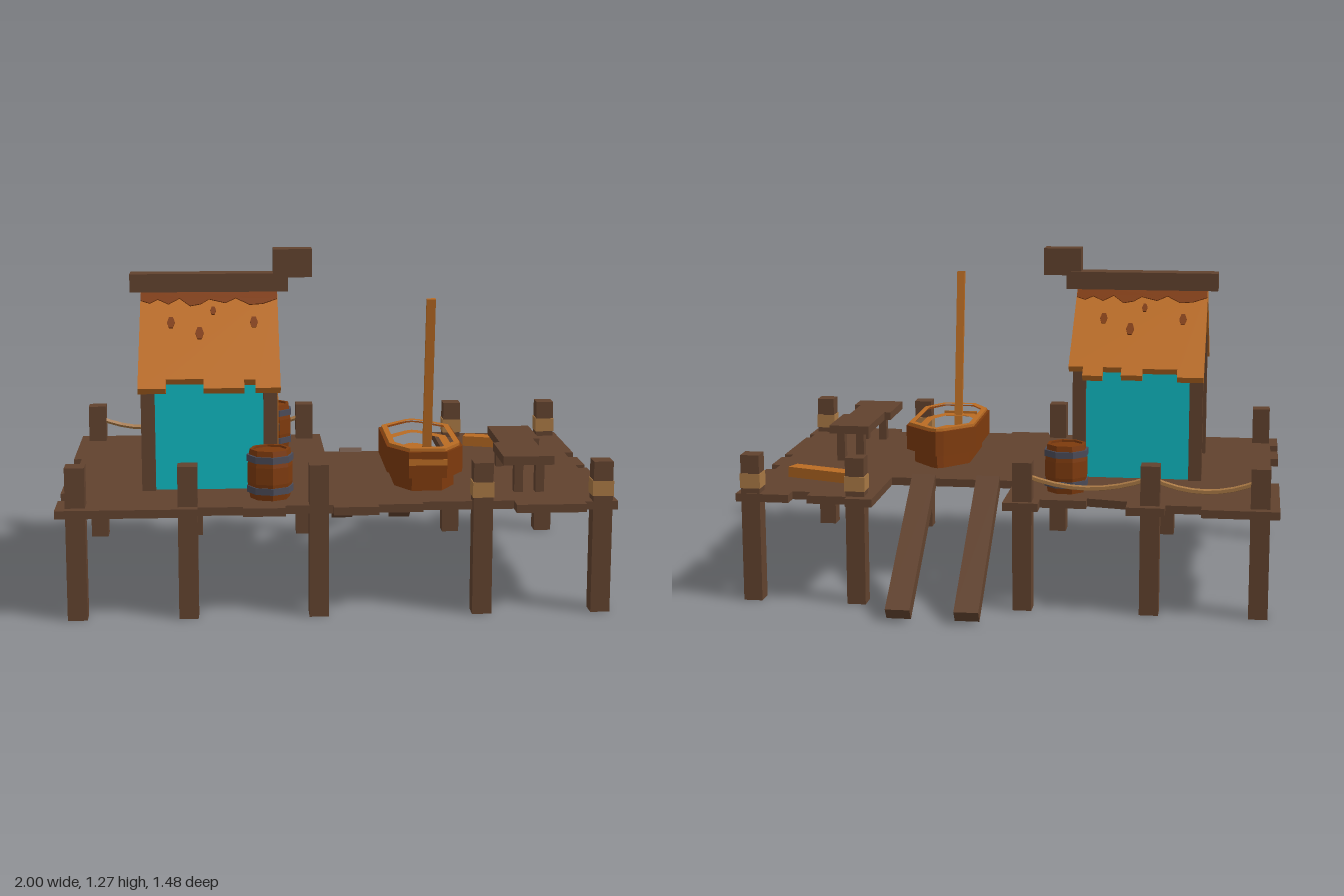
import * as THREE from 'three';

const mat = (name, color) => {
  const m = new THREE.MeshStandardMaterial({ color });
  m.name = name;
  return m;
};

export function createModel() {
  const wood = mat('dark wood', 0x61422e);
  const teal = mat('teal paint', 0x0fb8c0);
  const orange = mat('orange wood', 0xb96b23);
  const rust = mat('rust wood', 0x7d3a0d);
  const band = mat('post wrap', 0xa87844);
  const iron = mat('iron', 0x4b4b58);

  const root = new THREE.Group();
  root.name = 'dockHouse';

  const add = (name, geo, m, parent = root) => {
    const mesh = new THREE.Mesh(geo, m);
    mesh.name = name;
    parent.add(mesh);
    return mesh;
  };
  // Box given by its ranges
  const box = (name, m, [x0, x1], [y0, y1], [z0, z1], parent) => {
    const b = add(name, new THREE.BoxGeometry(x1 - x0, y1 - y0, z1 - z0), m, parent);
    b.position.set((x0 + x1) / 2, (y0 + y1) / 2, (z0 + z1) / 2);
    return b;
  };
  const outline = (pts) => new THREE.Shape(pts.map(([a, b]) => new THREE.Vector2(a, b)));
  const extrude = (pts, depth, hole) => {
    const s = outline(pts);
    if (hole) s.holes.push(outline(hole));
    return new THREE.ExtrudeGeometry(s, { depth, bevelEnabled: false });
  };
  // Horizontal slab from [x, z] points
  const slab = (name, m, pts, y0, y1, hole, parent) => {
    const flip = (p) => p && p.map(([x, z]) => [x, -z]);
    const g = extrude(flip(pts), y1 - y0, flip(hole)).rotateX(-Math.PI / 2).translate(0, y0, 0);
    return add(name, g, m, parent);
  };
  // Upright slab from [z, y] points, thick along x
  const upright = (name, m, pts, x0, x1, parent) => {
    const g = extrude(pts.map(([z, y]) => [-z, y]), x1 - x0).rotateY(Math.PI / 2).translate(x0, 0, 0);
    return add(name, g, m, parent);
  };
  const faceted = (geo) => {
    const g = geo.toNonIndexed();
    g.computeVertexNormals();
    return g;
  };

  // Deck with ragged plank ends
  slab('deck', wood, [
    [-1, -0.58], [-0.72, -0.58], [-0.72, -0.53], [-0.59, -0.53], [-0.59, -0.58], [-0.45, -0.58],
    [-0.45, -0.49], [-0.3, -0.46], [-0.3, -0.5], [-0.13, -0.5], [-0.13, -0.565], [0, -0.565],
    [0, -0.21], [0.48, -0.21], [0.48, -0.58], [0.58, -0.58], [0.58, -0.55], [0.73, -0.55],
    [0.73, -0.49], [0.8, -0.49], [0.8, -0.55], [1, -0.55], [1, -0.13], [0.965, -0.13],
    [0.965, -0.05], [1, -0.05], [1, 0.1], [0.965, 0.1], [0.965, 0.15], [1, 0.15],
    [1, 0.5], [0.98, 0.5], [0.98, 0.56], [1, 0.56], [1, 0.7], [0.88, 0.7],
    [0.88, 0.735], [0.63, 0.735], [0.63, 0.67], [0.3, 0.67], [0.3, 0.7], [0.14, 0.7],
    [0.14, 0.735], [-0.02, 0.735], [-0.02, 0.7], [-0.19, 0.7], [-0.19, 0.735], [-0.34, 0.735],
    [-0.34, 0.71], [-0.5, 0.71], [-0.5, 0.735], [-1, 0.735], [-1, 0.58], [-0.97, 0.58],
    [-0.97, 0.47], [-1, 0.47], [-1, 0.32], [-0.97, 0.32], [-0.97, -0.12], [-1, -0.12],
  ], 0.38, 0.41);

  // Posts, wrapped on the right half
  for (const [z, fourth] of [[0.665, 0.515], [-0.51, 0.55]]) {
    for (const x of [-0.93, -0.535, -0.07, fourth, 0.945]) {
      box('post', wood, [x - 0.035, x + 0.035], [0, 0.555], [z - 0.035, z + 0.035]);
      if (x > 0.2) box('postWrap', band, [x - 0.038, x + 0.038], [0.43, 0.485], [z - 0.038, z + 0.038]);
    }
  }

  // Sagging ropes between the back posts
  for (const [a, b] of [[-0.93, -0.535], [-0.535, -0.07]]) {
    const mid = (a + b) / 2;
    const curve = new THREE.QuadraticBezierCurve3(
      new THREE.Vector3(a, 0.505, -0.51), new THREE.Vector3(mid, 0.415, -0.51), new THREE.Vector3(b, 0.505, -0.51));
    add('rope', faceted(new THREE.TubeGeometry(curve, 8, 0.01, 5)), band);
  }

  // Ramp planks
  for (const x of [0.105, 0.355]) {
    const ramp = add('rampPlank', new THREE.BoxGeometry(0.09, 0.05, 0.66), wood);
    ramp.position.set(x, 0.216, -0.463);
    ramp.rotation.x = -0.612;
  }

  // House body and corner posts
  const house = new THREE.Group();
  house.name = 'house';
  root.add(house);
  upright('walls', teal, [[0.425, 0.41], [0.425, 0.875], [0.163, 1.088], [-0.1, 0.875], [-0.1, 0.41]], -0.69, -0.23, house);
  for (const x of [-0.705, -0.26]) {
    for (const [z, inner] of [[0.445, 0.395], [-0.12, -0.07]]) {
      upright('cornerPost', wood, [[z, 0.41], [z, 0.865], [inner, 0.9], [inner, 0.41]], x, x + 0.05, house);
    }
  }

  // Door and window on the gable
  const arch = (z0, z1, top, c) => [[z0, 0.41], [z0, top - c], [z0 + c, top - c * 0.5], [z0 + c, top],
    [z1 - c, top], [z1 - c, top - c * 0.5], [z1, top - c], [z1, 0.41]];
  upright('doorFrame', wood, arch(0.02, 0.305, 0.77, 0.035), -0.235, -0.205, house);
  upright('door', orange, arch(0.055, 0.27, 0.738, 0.025), -0.207, -0.2, house);
  box('doorKnob', wood, [-0.202, -0.19], [0.56, 0.585], [0.075, 0.1], house);
  box('windowFrame', wood, [-0.235, -0.208], [0.83, 0.985], [0.11, 0.215], house);
  box('windowPane', iron, [-0.21, -0.204], [0.85, 0.968], [0.13, 0.195], house);

  // Roof slopes with ragged eaves and worn patches
  const pitch = 0.665;
  const slope = (name, turn, eave) => {
    const side = new THREE.Group();
    side.name = name;
    side.position.set(-0.455, 1.125, 0.163);
    side.rotation.set(0, turn, 0);
    const tilt = new THREE.Group();
    tilt.rotation.x = pitch - Math.PI / 2;
    side.add(tilt);
    house.add(side);
    add('roofPanel', extrude([[0.255, 0], [-0.255, 0], ...eave], 0.028).translate(0, 0, -0.028), orange, tilt);
    const worn = [[-0.254, -0.01], [-0.254, -0.07], [-0.22, -0.085], [-0.19, -0.065], [-0.15, -0.09], [-0.11, -0.06],
      [-0.07, -0.1], [-0.03, -0.09], [0, -0.065], [0.06, -0.085], [0.1, -0.06], [0.15, -0.095], [0.2, -0.09],
      [0.254, -0.065], [0.254, -0.01]];
    add('wornRidge', extrude(worn, 0.004), rust, tilt);
    for (const [x, s, r] of [[-0.14, 0.185, 0.024], [-0.035, 0.24, 0.026], [0.015, 0.125, 0.018], [0.165, 0.185, 0.024]]) {
      const spot = [0, 1, 2, 3, 4, 5].map((i) => [x + r * 0.6 * Math.cos(i * 1.047), -s + r * 1.3 * Math.sin(i * 1.047)]);
      add('wornSpot', extrude(spot, 0.004), rust, tilt);
    }
  };
  slope('frontRoof', 0, [[-0.255, -0.51], [-0.155, -0.51], [-0.155, -0.465], [-0.02, -0.465], [-0.02, -0.51],
    [0.125, -0.51], [0.125, -0.47], [0.165, -0.47], [0.165, -0.51], [0.255, -0.51]]);
  slope('backRoof', Math.PI, [[-0.255, -0.44], [-0.2, -0.44], [-0.2, -0.485], [-0.125, -0.485], [-0.125, -0.44],
    [-0.055, -0.44], [-0.055, -0.48], [0.025, -0.48], [0.025, -0.445], [0.155, -0.445], [0.155, -0.485], [0.255, -0.485]]);
  box('ridgeBeam', wood, [-0.75, -0.16], [1.112, 1.18], [0.113, 0.205], house);
  box('ridgeBlock', wood, [-0.215, -0.07], [1.165, 1.27], [0.12, 0.205], house);

  // Barrels with iron hoops
  for (const [x, z, turn] of [[-0.21, -0.335, 0], [-0.24, 0.56, 0.5]]) {
    const barrel = new THREE.Group();
    barrel.name = 'barrel';
    barrel.position.set(x, 0.41, z);
    barrel.rotation.y = turn + Math.PI / 8;
    root.add(barrel);
    const profile = [[0, 0], [0.072, 0], [0.082, 0.06], [0.082, 0.12], [0.074, 0.18], [0.062, 0.18], [0.062, 0.172], [0, 0.172]];
    add('staves', faceted(new THREE.LatheGeometry(profile.map(([r, y]) => new THREE.Vector2(r, y)), 8)), rust, barrel);
    for (const y of [0.035, 0.148]) {
      const hoop = add('hoop', faceted(new THREE.CylinderGeometry(0.085, 0.085, 0.024, 8)), iron, barrel);
      hoop.position.y = y;
    }
  }

  // Rowing boat
  const boat = new THREE.Group();
  boat.name = 'boat';
  boat.position.set(0.335, 0, 0.235);
  root.add(boat);
  const hull = (sx, sz) => [[0, -0.3], [0.03, -0.285], [0.14, -0.17], [0.14, 0.19], [0.07, 0.3], [-0.07, 0.3],
    [-0.14, 0.19], [-0.14, -0.17], [-0.03, -0.285]].map(([x, z]) => [x * sx, z * sz]);
  slab('keel', rust, hull(0.79, 0.88), 0.41, 0.465, null, boat);
  slab('hullSide', rust, hull(1, 1), 0.465, 0.562, hull(0.84, 0.9), boat);
  slab('gunwale', orange, hull(0.93, 0.96), 0.562, 0.573, hull(0.78, 0.86), boat);
  slab('innerStep', orange, hull(0.86, 0.92), 0.465, 0.53, hull(0.64, 0.74), boat);
  slab('boatFloor', orange, hull(0.7, 0.8), 0.465, 0.485, null, boat);
  box('sternStrip', orange, [-0.07, 0.07], [0.513, 0.535], [0.298, 0.304], boat);

  // Leaning oar at the stern
  const oar = add('oar', new THREE.BoxGeometry(0.032, 0.66, 0.018), orange);
  oar.position.set(0.335, 0.8, 0.524);
  oar.rotation.x = 0.153;

  // Bench
  slab('benchTop', wood, [[0.625, 0.04], [0.785, 0.04], [0.785, 0.29], [0.76, 0.29], [0.76, 0.5], [0.785, 0.5],
    [0.785, 0.605], [0.6, 0.605], [0.6, 0.35], [0.625, 0.35]], 0.525, 0.557);
  for (const z of [0.085, 0.52]) {
    for (const x of [0.667, 0.745]) box('benchLeg', wood, [x - 0.016, x + 0.016], [0.41, 0.525], [z - 0.02, z + 0.02]);
  }

  // Loose plank
  const plank = add('loosePlank', new THREE.BoxGeometry(0.3, 0.04, 0.062), orange);
  plank.position.set(0.725, 0.43, -0.273);
  plank.rotation.y = -0.33;

  return root;
}
